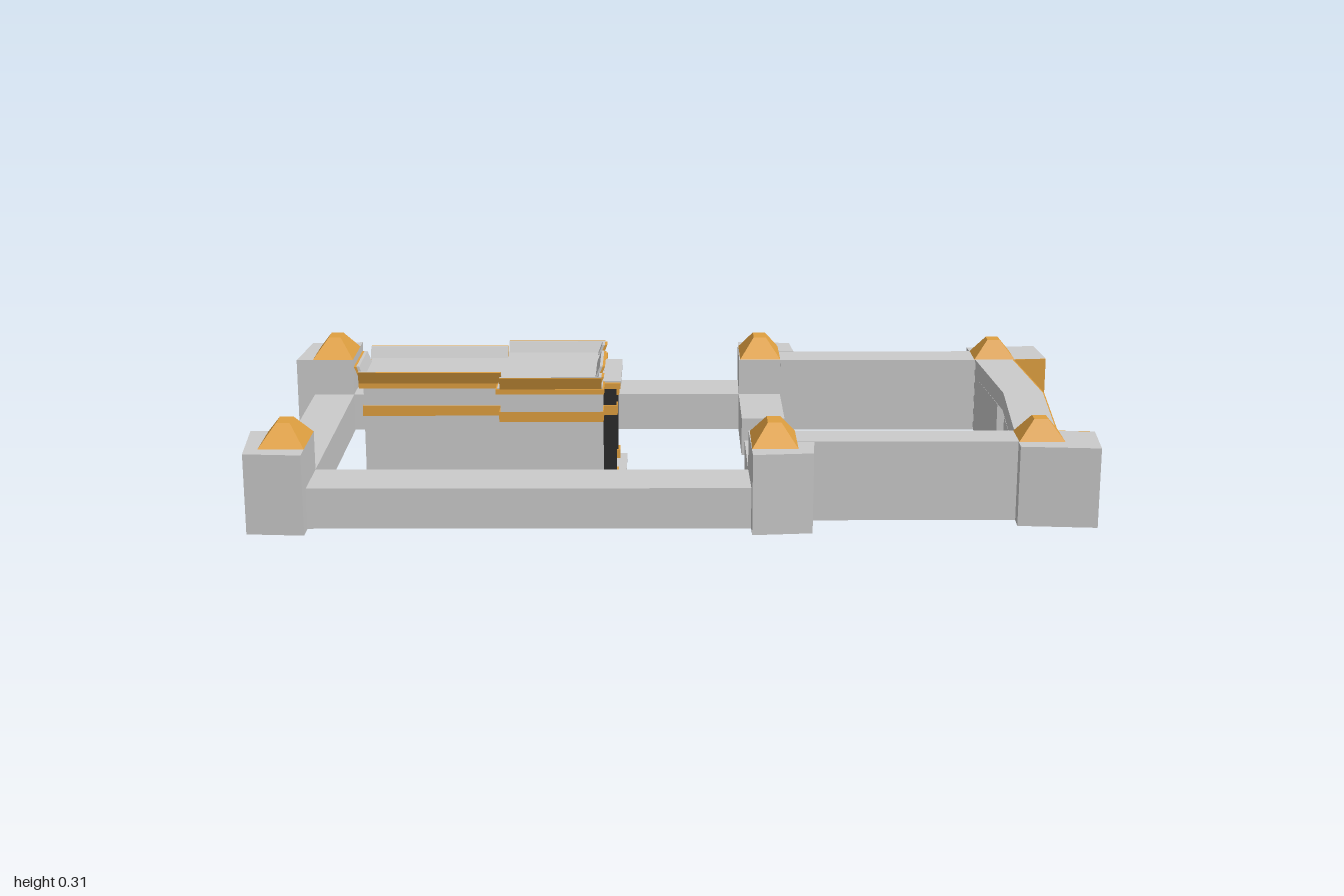
import * as THREE from 'three';

const GREY = 0xcccccc, GOLD = 0xe0a040, BLACK = 0x2b2b2b;
const mats = {};
const mat = (c) => (mats[c] ??= new THREE.MeshStandardMaterial({ color: c }));

export function createModel() {
  const root = new THREE.Group();

  const add = (parent, name, geo, color) => {
    const m = new THREE.Mesh(geo, mat(color));
    m.name = name;
    parent.add(m);
  };

  // Box from limits; its top can be shifted (dx, dz) and scaled (sx, sz)
  const block = (parent, name, [x0, x1], [y0, y1], [z0, z1], color = GREY, { dx = 0, dz = 0, sx = 1, sz = 1 } = {}) => {
    const g = new THREE.BoxGeometry(x1 - x0, y1 - y0, z1 - z0);
    const p = g.attributes.position;
    for (let i = 0; i < p.count; i++) {
      if (p.getY(i) > 0) {
        p.setX(i, p.getX(i) * sx + dx);
        p.setZ(i, p.getZ(i) * sz + dz);
      }
    }
    g.translate((x0 + x1) / 2, (y0 + y1) / 2, (z0 + z1) / 2);
    g.computeVertexNormals();
    add(parent, name, g, color);
  };

  // Upright prism from a plan of [x, z] corners
  const prism = (parent, name, plan, y0, y1, color = GREY) => {
    const shape = new THREE.Shape(plan.map(([x, z]) => new THREE.Vector2(x, -z)));
    const g = new THREE.ExtrudeGeometry(shape, { depth: y1 - y0, bevelEnabled: false });
    g.rotateX(-Math.PI / 2).translate(0, y0, 0);
    add(parent, name, g, color);
  };
  const span = (s, a, b) => (s > 0 ? [a, b] : [-b, -a]);

  // Enclosure
  const LOW = 0.12, HIGH = 0.215, FLOOR = 0.022;
  const walls = new THREE.Group();
  walls.name = 'enclosure';
  root.add(walls);
  block(walls, 'backWall', [-0.955, -0.85], [FLOOR, LOW], [-0.345, 0.345]);

  const towerPlans = {
    backTower: [[-1, 0.34], [-0.985, 0.53], [-0.85, 0.54], [-0.85, 0.34]],
    middleTower: [[0.18, 0.34], [0.183, 0.54], [0.323, 0.527], [0.33, 0.435], [0.29, 0.435], [0.29, 0.34]],
    frontTower: [[0.81, 0.335], [0.805, 0.475], [0.99, 0.49], [1, 0.35], [0.91, 0.343]],
  };
  const roofs = [
    [[-0.957, -0.85], [0.342, 0.492], 0.265],
    [[0.183, 0.29], [0.342, 0.492], 0.265],
    [[0.808, 0.915], [0.34, 0.435], 0.262],
  ];
  for (const s of [1, -1]) {
    const mirror = (plan) => plan.map(([x, z]) => [x, z * s]);
    for (const [name, plan] of Object.entries(towerPlans)) prism(walls, name, mirror(plan), FLOOR, HIGH);
    for (const [xs, zs, top] of roofs)
      block(walls, 'towerRoof', xs, [HIGH, top], span(s, ...zs), GOLD, { sx: 0.3, sz: 0.38 });
    block(walls, 'sideWall', [-0.85, 0.183], [FLOOR, LOW], span(s, 0.342, 0.49));
    block(walls, 'frontSideWall', [0.29, 0.82], [FLOOR, HIGH], span(s, 0.338, 0.432));
    block(walls, 'crossWall', [0.18, 0.29], [FLOOR, LOW], span(s, 0.1, 0.345));

    // Angled gate wall, one half per side, with gold facing above the opening
    prism(walls, 'gateWall', mirror([[0.83, 0.057], [0.931, 0.057], [0.91, 0.345], [0.81, 0.345]]), FLOOR, 0.17);
    prism(walls, 'gateTowerFacing', mirror([[0.91, 0.343], [1, 0.35], [1, 0.348], [0.91, 0.341]]), FLOOR, HIGH, GOLD);
    prism(walls, 'gateBand', mirror([[0.935, 0], [0.938, 0], [0.913, 0.343], [0.91, 0.343]]), 0.17, HIGH, GOLD);
  }
  prism(walls, 'gateLintel',
    [[0.835, 0], [0.81, 0.345], [0.91, 0.345], [0.935, 0], [0.91, -0.345], [0.81, -0.345]], 0.17, HIGH);

  // Inner gate with steps and ramp
  const gate = new THREE.Group();
  gate.name = 'innerGate';
  root.add(gate);
  block(gate, 'lintel', [0.247, 0.275], [0.1, 0.124], [-0.102, 0.102], GOLD);
  for (const s of [1, -1]) {
    block(gate, 'outerPost', [0.25, 0.272], [FLOOR, 0.1], span(s, 0.085, 0.102));
    block(gate, 'innerPost', [0.25, 0.272], [FLOOR, 0.1], span(s, 0.036, 0.05));
    block(gate, 'postFacing', [0.246, 0.276], [FLOOR, 0.07], span(s, 0.042, 0.052), GOLD);
  }
  for (let i = 0; i < 3; i++) {
    const w = 0.1 - i * 0.02;
    block(gate, 'step', [0.275, 0.36 - i * 0.02], [i * 0.0075, i * 0.0075 + 0.0055], [-w, w]);
  }
  block(gate, 'ramp', [0.27, 0.3], [0.004, 0.024], [-0.02, 0.02], GOLD);
  block(gate, 'rampFoot', [0.3, 0.358], [0.004, 0.009], [-0.02, 0.02], GOLD);

  // Main hall: narrow rear part and wider front part
  const hall = new THREE.Group();
  hall.name = 'hall';
  root.add(hall);
  for (const [x0, x1, w] of [[-0.76, -0.42, 0.115], [-0.42, -0.17, 0.172]]) {
    block(hall, 'hallBody', [x0, x1], [FLOOR, 0.265], [-w, w]);
    block(hall, 'hallBand', [x0 - 0.003, x1 + 0.002], [0.19, 0.215], [-w - 0.003, w + 0.003], GOLD);
    block(hall, 'eaves', [x0 - 0.01, x1 + 0.004], [0.262, 0.275], [-w - 0.012, w + 0.012], GOLD);
    block(hall, 'roof', [x0 - 0.006, x1], [0.275, 0.278], [-w - 0.008, w + 0.008]);
  }

  // Flared cornice panels: gold outside, grey inside
  const flare = (xs, zs, nx, nz) => {
    const lean = { dx: nx * 0.014, dz: nz * 0.014 };
    block(hall, 'cornice', xs, [0.27, 0.305], zs, GOLD, lean);
    const inner = (r, n) => r.map((v) => v - n * 0.006);
    block(hall, 'corniceLining', inner(xs, nx), [0.27, 0.3055], inner(zs, nz), GREY, lean);
  };
  flare([-0.773, -0.766], [-0.08, 0.08], -1, 0);
  flare([-0.187, -0.18], [-0.08, 0.08], 1, 0);
  for (const s of [1, -1]) {
    flare([-0.77, -0.42], span(s, 0.117, 0.125), 0, s);
    flare([-0.42, -0.172], span(s, 0.173, 0.181), 0, s);
    flare([-0.187, -0.18], span(s, 0.142, 0.181), 1, 0);
  }

  // Porch: dark columns with gold trim under a flat canopy
  const porch = new THREE.Group();
  porch.name = 'porch';
  root.add(porch);
  block(porch, 'canopy', [-0.17, -0.126], [0.264, 0.276], [-0.11, 0.11]);
  block(porch, 'canopyTrim', [-0.17, -0.128], [0.258, 0.273], [-0.12, 0.12], GOLD);
  for (const s of [1, -1]) {
    block(porch, 'column', [-0.17, -0.138], [0.045, 0.258], span(s, 0.08, 0.111), BLACK);
    block(porch, 'columnBase', [-0.17, -0.133], [FLOOR, 0.045], span(s, 0.075, 0.116), GOLD);
    block(porch, 'columnRing', [-0.17, -0.135], [0.19, 0.215], span(s, 0.077, 0.114), GOLD);
  }

  // Nested door frames and door
  [[0.055, 0.155, GREY], [0.046, 0.145, GOLD], [0.042, 0.14, GREY], [0.03, 0.12, GOLD]].forEach(([w, top, c], i) =>
    block(porch, i === 3 ? 'door' : 'doorFrame', [-0.171, -0.164 + i * 0.003], [FLOOR, top], [-w, w], c));
  block(porch, 'porchStep', [-0.17, -0.115], [0.014, FLOOR], [-0.12, 0.12]);

  return root;
}
